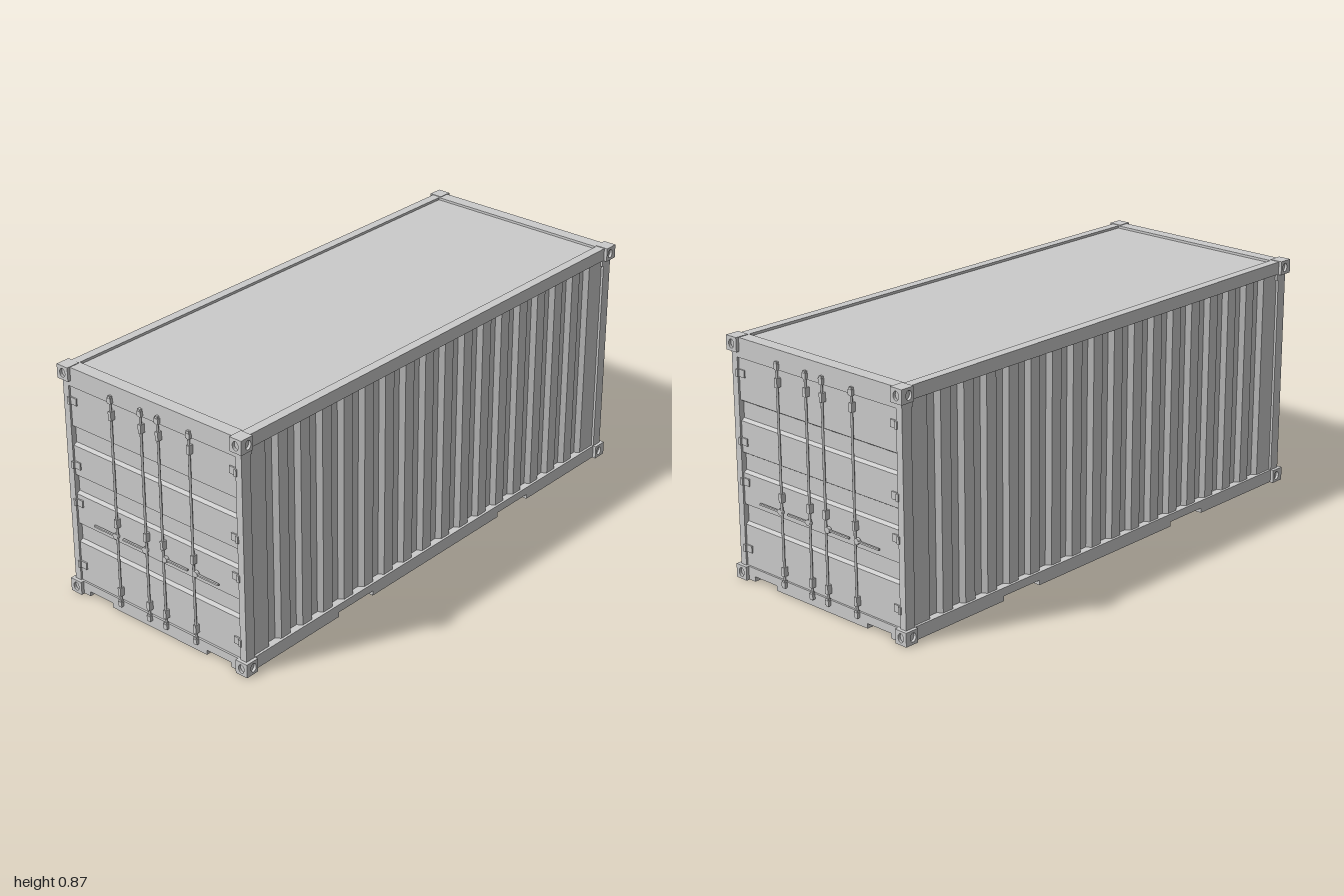
import * as THREE from 'three';

const material = new THREE.MeshStandardMaterial({ color: 0xcccccc, side: THREE.DoubleSide });

function add(parent, name, geometry, x = 0, y = 0, z = 0) {
  const mesh = new THREE.Mesh(geometry, material);
  mesh.name = name;
  mesh.position.set(x, y, z);
  parent.add(mesh);
  return mesh;
}

// Box given by its min and max on each axis
function box(parent, name, x0, x1, y0, y1, z0, z1) {
  const geometry = new THREE.BoxGeometry(x1 - x0, y1 - y0, z1 - z0);
  return add(parent, name, geometry, (x0 + x1) / 2, (y0 + y1) / 2, (z0 + z1) / 2);
}

function extrude(points, depth) {
  const shape = new THREE.Shape(points.map(([x, y]) => new THREE.Vector2(x, y)));
  return new THREE.ExtrudeGeometry(shape, { depth, bevelEnabled: false });
}

// Bottom rail with notches cut into its lower edge
function notchedRail(half, notches, depth) {
  const points = [[-half, 0.002]];
  for (const [a, b] of notches) points.push([a, 0.002], [a, 0.02], [b, 0.02], [b, 0.002]);
  points.push([half, 0.002], [half, 0.05], [-half, 0.05]);
  return extrude(points, depth);
}

// Square plate with an oval hole
function holedPlate(w, h, depth) {
  const shape = new THREE.Shape();
  shape.moveTo(-w / 2, -h / 2).lineTo(w / 2, -h / 2).lineTo(w / 2, h / 2).lineTo(-w / 2, h / 2);
  const hole = new THREE.Path();
  hole.absellipse(0, 0, 0.0125, 0.016, 0, Math.PI * 2, true);
  shape.holes.push(hole);
  return new THREE.ExtrudeGeometry(shape, { depth, bevelEnabled: false, curveSegments: 10 });
}

// Corner casting: solid core with holed plates on the end and the side
function cornerCasting(y0, y1, side) {
  const casting = new THREE.Group();
  casting.name = 'cornerCasting';
  const t = 0.01, y = (y0 + y1) / 2, h = y1 - y0;
  box(casting, 'castingCore', 0.947, 1 - t, y0, y1, 0.362, 0.412 - t);
  add(casting, 'castingEndPlate', holedPlate(0.05, h, t).rotateY(Math.PI / 2), 1 - t, y, 0.387);
  add(casting, 'castingSidePlate', holedPlate(0.053 - t, h, t), (0.947 + 1 - t) / 2, y, 0.412 - t);
  if (side < 0) {
    // Mirrored by a quarter turn's worth of repositioning, keeping face order intact
    for (const part of casting.children) {
      part.position.z *= -1;
      if (part.name === 'castingSidePlate') part.position.z -= t;
    }
  }
  return casting;
}

// Corrugated long wall
function sideWall() {
  const points = [[-0.95, -0.391]];
  for (let i = 0; i < 17; i++) {
    const x = -0.87 + i * 0.105;
    points.push([x, -0.391], [x + 0.012, -0.373], [x + 0.048, -0.373], [x + 0.06, -0.391]);
  }
  points.push([0.95, -0.391], [0.95, -0.362], [-0.95, -0.362]);
  return extrude(points, 0.78).rotateX(-Math.PI / 2);
}

// Door panel with three horizontal grooves
function doorPanel() {
  const points = [[0.94, 0.045], [0.981, 0.045]];
  for (const y of [0.2, 0.387, 0.572]) {
    points.push([0.981, y], [0.968, y + 0.008], [0.968, y + 0.066], [0.981, y + 0.074]);
  }
  points.push([0.981, 0.8], [0.94, 0.8]);
  return extrude(points, 0.75).translate(0, 0, -0.375);
}

// Locking bar with cams, brackets and a swinging handle
function lockingBar(z, top, side) {
  const bar = new THREE.Group();
  bar.name = 'lockingBar';
  const rod = new THREE.CylinderGeometry(0.0045, 0.0045, top - 0.03, 10);
  add(bar, 'rod', rod, 0.992, (top + 0.03) / 2, z);
  for (const y of [0.04, top - 0.017]) {
    box(bar, 'cam', 0.985, 0.999, y - 0.009, y + 0.009, z - 0.0085, z + 0.0085);
    box(bar, 'camTip', 0.986, 0.998, y - 0.012, y + 0.016, z - 0.006, z + 0.006);
  }
  for (const y of [0.087, 0.352, 0.755]) {
    box(bar, 'bracket', 0.98, 0.999, y - 0.016, y + 0.016, z - 0.0065, z + 0.0065);
  }
  const hubZ = z + side * 0.008, tipZ = z + side * 0.11;
  add(bar, 'handleHub', new THREE.CylinderGeometry(0.011, 0.011, 0.012, 12).rotateZ(Math.PI / 2), 0.99, 0.3, hubZ);
  box(bar, 'handle', 0.988, 0.995, 0.297, 0.303, Math.min(hubZ, tipZ), Math.max(hubZ, tipZ));
  return bar;
}

// One end with doors plus one long side
function halfContainer() {
  const half = new THREE.Group();

  // Long side
  add(half, 'sideWall', sideWall(), 0, 0.045, 0);
  box(half, 'topSideRail', -0.96, 0.96, 0.82, 0.867, 0.365, 0.4);
  add(half, 'bottomSideRail', notchedRail(0.96, [[-0.532, -0.356], [0.348, 0.524]], 0.03), 0, 0, 0.37);

  // End frame
  box(half, 'topEndRail', 0.94, 0.988, 0.797, 0.867, -0.4, 0.4);
  const endRail = notchedRail(0.39, [[-0.331, -0.221], [0.221, 0.331]], 0.035);
  add(half, 'bottomEndRail', endRail.rotateY(Math.PI / 2), 0.953, 0, 0);
  for (const side of [1, -1]) {
    const z = side * 0.387;
    box(half, 'cornerPost', 0.947, 0.988, 0.045, 0.83, z - 0.013, z + 0.013);
    half.add(cornerCasting(0, 0.05, side), cornerCasting(0.818, 0.869, side));
  }

  // Doors, hinges and locking bars
  add(half, 'doors', doorPanel());
  for (const side of [1, -1]) {
    for (const y of [0.114, 0.357, 0.501, 0.742]) {
      const z = side * 0.362;
      box(half, 'hingeLeaf', 0.975, 0.986, y - 0.013, y + 0.013, z - 0.017, z + 0.017);
      box(half, 'hingeKnuckle', 0.98, 0.993, y - 0.013, y + 0.013, side * 0.375 - 0.005, side * 0.375 + 0.005);
    }
  }
  half.add(
    lockingBar(0.174, 0.828, 1), lockingBar(0.037, 0.828, 1),
    lockingBar(-0.04, 0.828, -1), lockingBar(-0.178, 0.823, -1)
  );
  return half;
}

export function createModel() {
  const model = new THREE.Group();
  model.name = 'shippingContainer';

  // Two identical halves, turned about the vertical axis
  for (let i = 0; i < 2; i++) {
    const half = halfContainer();
    half.name = i ? 'backHalf' : 'frontHalf';
    half.rotation.y = i * Math.PI;
    model.add(half);
  }

  // Sunken roof and raised floor
  box(model, 'roof', -0.945, 0.945, 0.84, 0.858, -0.37, 0.37);
  box(model, 'floor', -0.96, 0.96, 0.04, 0.05, -0.375, 0.375);
  return model;
}
